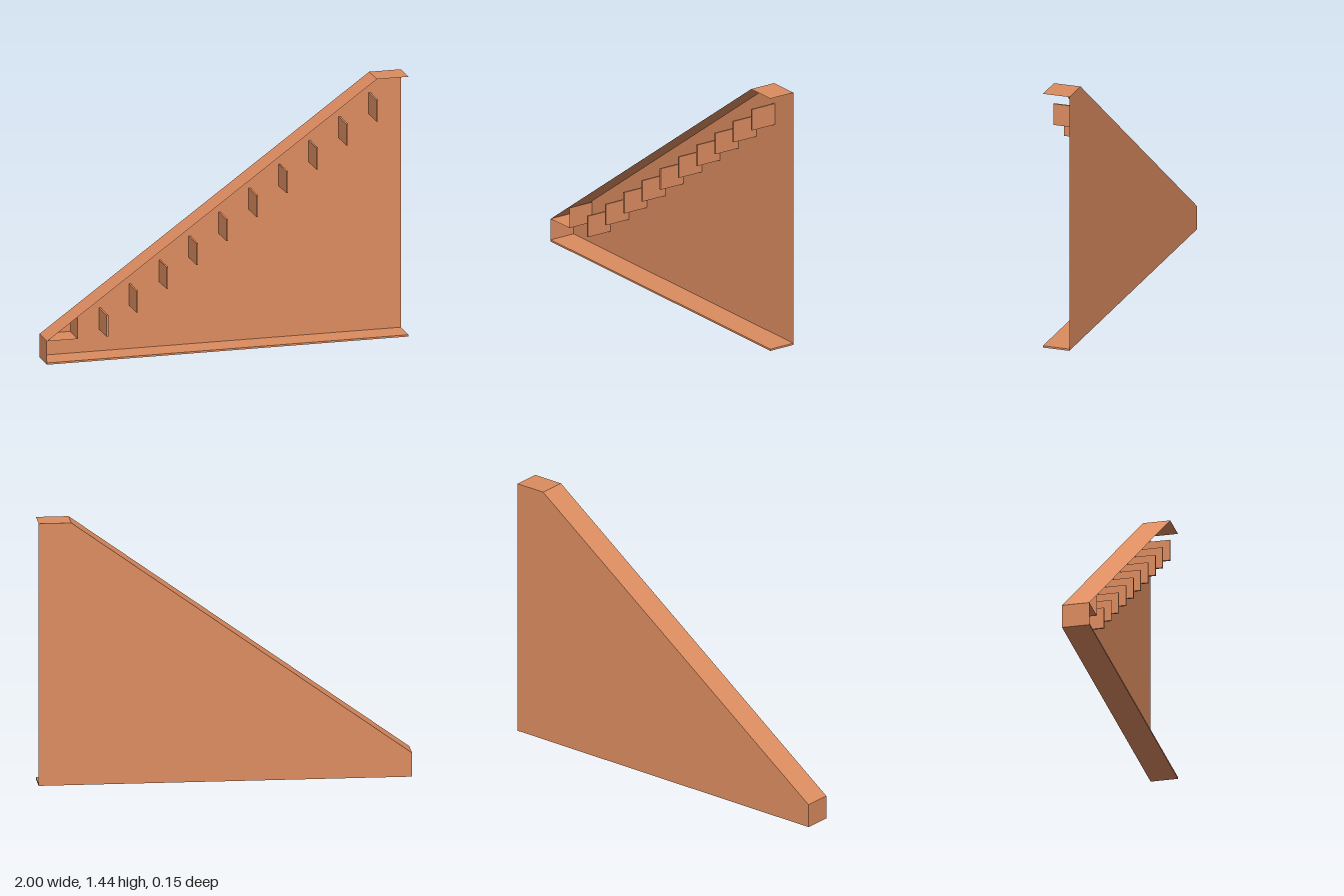
import * as THREE from 'three';

export function createModel() {
  const group = new THREE.Group();
  const material = new THREE.MeshStandardMaterial({ color: 0xdc8c60, side: THREE.DoubleSide });
  const depth = 0.15, half = depth / 2;
  const baseY = 0.13, topY = 1.44, topX = 0.825;

  function add(name, geometry, x = 0, y = 0, z = 0) {
    const mesh = new THREE.Mesh(geometry, material);
    mesh.name = name;
    mesh.position.set(x, y, z);
    group.add(mesh);
    return mesh;
  }

  // Thin sheet across the depth, following a straight line in the xy plane
  function sheet(name, x0, y0, x1, y1) {
    const geometry = new THREE.PlaneGeometry(Math.hypot(x1 - x0, y1 - y0), depth);
    geometry.rotateX(-Math.PI / 2);
    add(name, geometry, (x0 + x1) / 2, (y0 + y1) / 2).rotation.z = Math.atan2(y1 - y0, x1 - x0);
  }

  // Side panel closing the back; the front and the tall end stay open
  const outline = new THREE.Shape([
    new THREE.Vector2(-1, 0), new THREE.Vector2(1, 0), new THREE.Vector2(1, topY),
    new THREE.Vector2(topX, topY), new THREE.Vector2(-1, baseY),
  ]);
  add('sidePanel', new THREE.ShapeGeometry(outline), 0, 0, -half);

  // Surrounding sheets
  add('floor', new THREE.BoxGeometry(2, 0.01, depth), 0, 0.005, 0);
  sheet('lowEndWall', -1, 0, -1, baseY);
  sheet('slope', -1, baseY, topX, topY);
  sheet('topLanding', topX, topY, 1, topY);

  // First step under the foot of the slope
  sheet('firstTread', -1, baseY, -0.83, baseY);
  sheet('firstRiser', -0.83, baseY, -0.83, baseY + 0.115);

  // Row of risers climbing below the slope
  const count = 10, rise = 0.1195, run = 0.166;
  for (let i = 0; i < count; i++) {
    add('riser', new THREE.BoxGeometry(0.01, rise, depth),
      -0.667 + i * run, baseY + (i + 0.5) * rise, 0);
  }
  return group;
}
